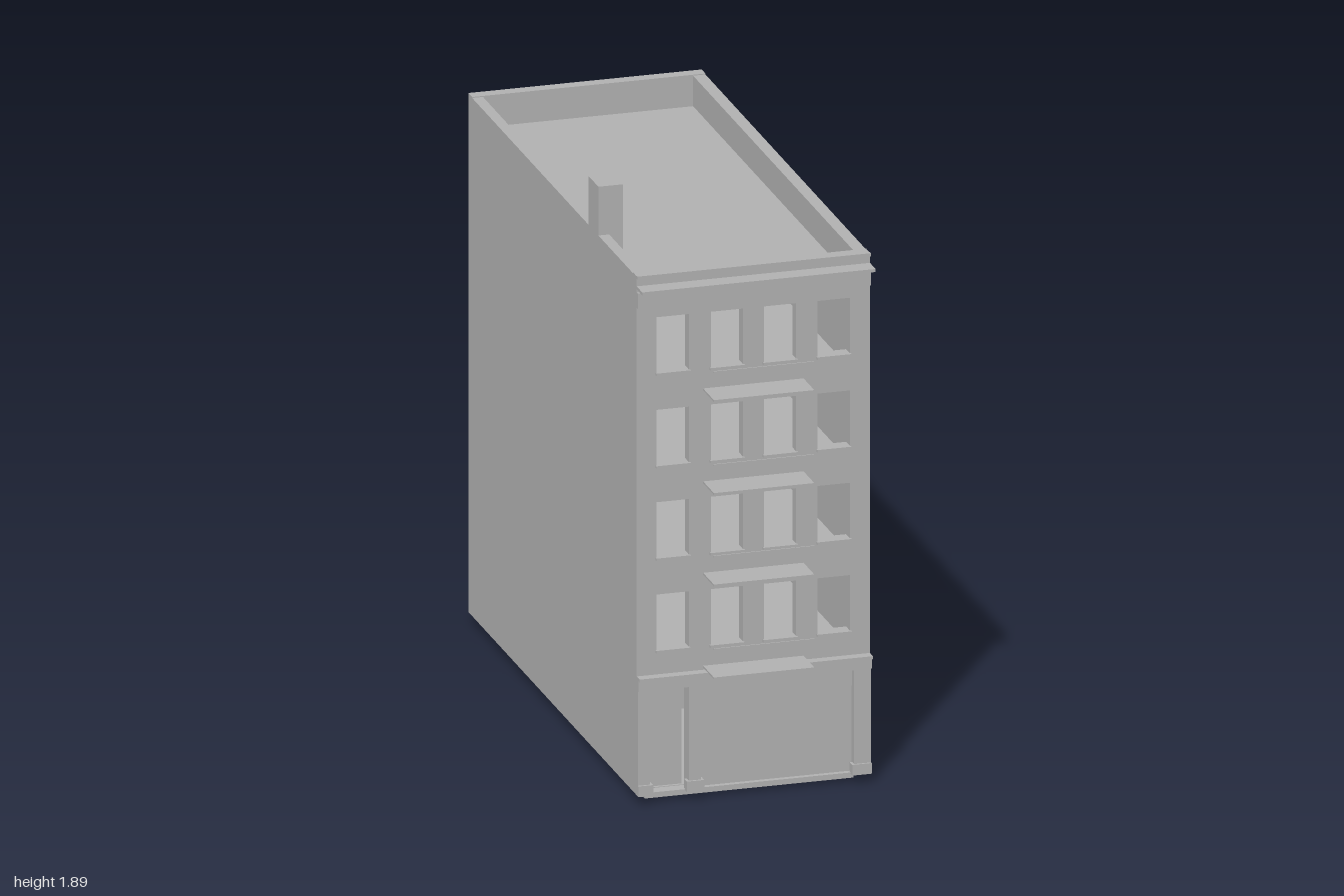
import * as THREE from 'three';

const stone = new THREE.MeshStandardMaterial({ color: 0xb0b0b0 });
stone.name = 'stone grey';

// Outer limits of the shell and its inner faces
const X0 = -0.38, X1 = 0.375, Z0 = -0.905, Z1 = 0.885;
const IX0 = -0.345, IX1 = 0.335, IZ0 = -0.865, IZ1 = 0.845;
const columns = [-0.263, -0.088, 0.084, 0.258];
const sillHeights = [0.5, 0.803, 1.106, 1.41];
const deckHeights = [0.43, 0.735, 1.035, 1.34];

export function createModel() {
  const model = new THREE.Group();
  model.name = 'townBuilding';

  // Box given by its limits on each axis
  function box(name, x0, x1, y0, y1, z0, z1) {
    const mesh = new THREE.Mesh(new THREE.BoxGeometry(x1 - x0, y1 - y0, z1 - z0), stone);
    mesh.position.set((x0 + x1) / 2, (y0 + y1) / 2, (z0 + z1) / 2);
    mesh.name = name;
    model.add(mesh);
    return mesh;
  }

  // Wall with rectangular openings [x0, x1, y0, y1]
  function piercedWall(name, z, depth, openings) {
    const rect = (P, x0, x1, y0, y1) => {
      const p = new P();
      p.moveTo(x0, y0);
      p.lineTo(x1, y0);
      p.lineTo(x1, y1);
      p.lineTo(x0, y1);
      p.closePath();
      return p;
    };
    const shape = rect(THREE.Shape, X0, X1, 0.03, 1.733);
    shape.holes = openings.map((o) => rect(THREE.Path, ...o));
    const mesh = new THREE.Mesh(
      new THREE.ExtrudeGeometry(shape, { depth, bevelEnabled: false }), stone);
    mesh.position.z = z;
    mesh.name = name;
    model.add(mesh);
  }

  const windows = [];
  for (const y of sillHeights)
    for (const x of columns) windows.push([x - 0.052, x + 0.052, y, y + 0.182]);

  // Front and back walls
  piercedWall('frontWall', IZ1, Z1 - IZ1, [
    ...windows,
    [-0.34, -0.215, 0.034, 0.375],
    [-0.175, 0.32, 0.034, 0.375],
  ]);
  const rearWindows = columns.slice(1).map((x) => [x - 0.052, x + 0.052, 0.13, 0.315]);
  piercedWall('backWall', Z0, IZ0 - Z0, [
    ...windows, ...rearWindows, [-0.32, -0.215, 0.034, 0.26],
  ]);

  // Side walls, plinth, roof and inner floors
  box('rightWall', X0, IX0, 0.03, 1.73, IZ0, IZ1);
  box('leftWall', IX1, X1, 0.03, 1.73, IZ0, IZ1);
  box('plinth', -0.34, 0.335, 0, 0.03, -0.86, 0.84);
  box('groundFloor', IX0, IX1, 0.03, 0.036, IZ0, IZ1);
  for (const y of deckHeights) box('floor', IX0, IX1, y - 0.03, y - 0.01, IZ0, IZ1);
  box('roof', IX0, IX1, 1.61, 1.63, IZ0, IZ1);
  box('chimney', -0.38, -0.3, 1.62, 1.89, 0.373, 0.478);

  // Window sills
  for (const y of sillHeights)
    for (const x of columns) box('windowSill', x - 0.056, x + 0.056, y - 0.008, y, Z1 - 0.01, 0.894);

  // Balcony decks and front handrails
  for (const y of deckHeights) {
    box('frontBalcony', -0.165, 0.16, y - 0.003, y + 0.003, Z1, 1);
    box('backBalcony', 0.01, 0.335, y - 0.003, y + 0.003, -1, Z0);
    box('handrail', -0.165, 0.16, y + 0.092, y + 0.097, 0.996, 1);
  }

  // Top cornice
  box('frieze', X0, X1, 1.63, 1.68, Z1, 0.897);
  box('corniceShelf', X0, X1, 1.69, 1.7, Z1, 0.945);
  box('parapetCap', X0, X1, 1.725, 1.735, Z1, 0.895);

  // Shopfront: pilasters with footings, band, cornice
  for (const [x0, x1] of [[X0, -0.34], [-0.215, -0.175], [0.32, X1]]) {
    box('pilaster', x0, x1, 0.03, 0.378, Z1, 0.897);
    box('pilasterFoot', Math.max(X0, x0 - 0.008), Math.min(X1, x1 + 0.008), 0.03, 0.065, Z1 - 0.01, 0.904);
  }
  box('shopBand', X0, X1, 0.375, 0.41, Z1, 0.905);
  box('shopCornice', X0, X1, 0.41, 0.42, Z1, 0.917);
  box('shopWindow', -0.175, 0.32, 0.034, 0.315, 0.855, 0.868);
  box('signPanel', -0.175, 0.32, 0.315, 0.375, 0.855, 0.876);

  // Recessed entrance
  box('door', -0.335, -0.22, 0.034, 0.285, 0.825, 0.835);
  box('transom', -0.34, -0.215, 0.285, 0.375, 0.83, 0.845);

  return model;
}
